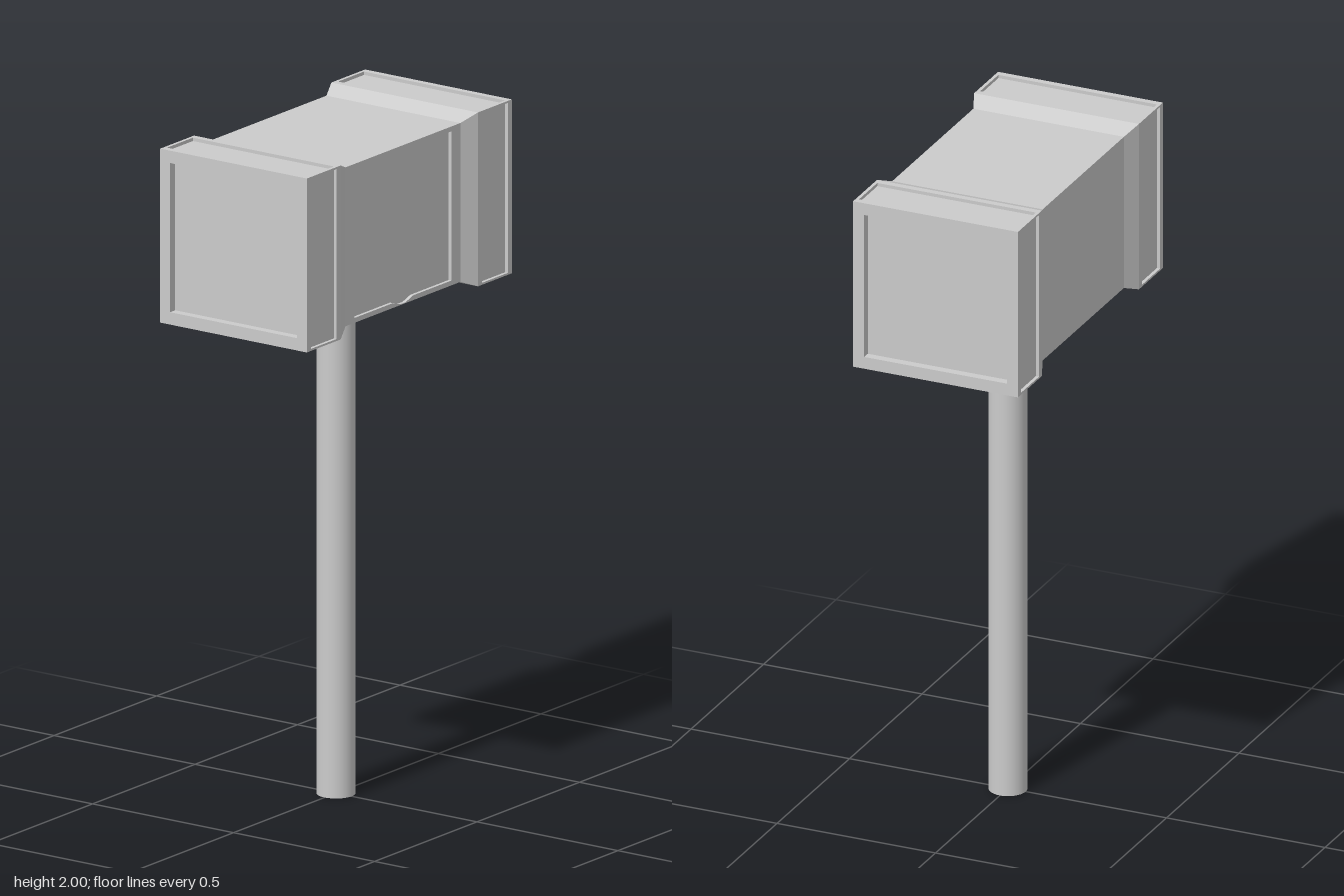
import * as THREE from 'three';
import { mergeGeometries } from 'three/addons/utils/BufferGeometryUtils.js';

const material = new THREE.MeshStandardMaterial({ color: 0xcccccc, flatShading: true });
const smooth = new THREE.MeshStandardMaterial({ color: 0xcccccc });

const CENTER = 1.74; // height of the head's axis
const END = 0.26, CORE = 0.2375; // half widths of the end blocks and the core
const Z_CORE = 0.28, Z_FLARE = 0.335, Z_FACE = 0.5;

const rect = (w, h) => [[-w, -h], [w, -h], [w, h], [-w, h]].map(([x, y]) => new THREE.Vector2(x, y));

// Flat face towards +z with an optional sunken panel (counter-clockwise outline).
function panel(w, h, inner, depth) {
  const face = new THREE.Shape(rect(w, h));
  if (!inner) return new THREE.ShapeGeometry(face).toNonIndexed();
  face.holes.push(new THREE.Path(inner));
  const floor = new THREE.ShapeGeometry(new THREE.Shape(inner)).translate(0, 0, -depth);
  const walls = [];
  inner.forEach((a, i) => {
    const b = inner[(i + 1) % inner.length];
    walls.push(a.x, a.y, 0, b.x, b.y, 0, b.x, b.y, -depth);
    walls.push(a.x, a.y, 0, b.x, b.y, -depth, a.x, a.y, -depth);
  });
  const wall = new THREE.BufferGeometry();
  wall.setAttribute('position', new THREE.Float32BufferAttribute(walls, 3));
  const parts = [new THREE.ShapeGeometry(face).toNonIndexed(), floor.toNonIndexed(), wall];
  parts.forEach((g) => { g.deleteAttribute('uv'); g.deleteAttribute('normal'); });
  const merged = mergeGeometries(parts);
  merged.computeVertexNormals();
  return merged;
}

function add(parent, name, geometry, mat = material) {
  const mesh = new THREE.Mesh(geometry, mat);
  mesh.name = name;
  parent.add(mesh);
  return mesh;
}

// Places a panel on one of the four long sides; turn 0 is +x, 1 is +y, 2 is -x, 3 is -y.
const onSide = (geometry, turn, distance, z) =>
  geometry.rotateY(Math.PI / 2).translate(distance, 0, 0).rotateZ(turn * Math.PI / 2).translate(0, 0, z);

function endBlock() {
  const block = new THREE.Group();
  add(block, 'strikingFace', panel(END, END, rect(0.225, 0.223), 0.025).translate(0, 0, Z_FACE));

  // Four sunken side panels
  const halfLength = (Z_FACE - Z_FLARE) / 2;
  for (let i = 0; i < 4; i++) {
    const inner = rect(0.063, i % 2 ? 0.25 : 0.254);
    add(block, 'endSide', onSide(panel(halfLength, END, inner, 0.01), i, END, Z_FLARE + halfLength));
  }

  // Sloped collar down to the core
  const collar = new THREE.CylinderGeometry(END * Math.SQRT2, CORE * Math.SQRT2, Z_FLARE - Z_CORE, 4, 1, true);
  collar.rotateY(Math.PI / 4).rotateX(Math.PI / 2).translate(0, 0, (Z_FLARE + Z_CORE) / 2);
  add(block, 'collar', collar);
  return block;
}

export function createModel() {
  const model = new THREE.Group();
  model.name = 'hammer';

  const head = new THREE.Group();
  head.name = 'head';
  head.position.y = CENTER;
  model.add(head);

  // Core: a notched panel is sunk into the left side only
  const half = [[-0.237, -0.223], [-0.05, -0.223], [-0.012, -0.235], [0.012, -0.235], [0.05, -0.223], [0.237, -0.223]];
  const notched = [...half, ...half.map(([x, y]) => [-x, -y])].map(([x, y]) => new THREE.Vector2(x, y));
  for (let i = 0; i < 4; i++) {
    add(head, i ? 'coreSide' : 'corePanel', onSide(panel(Z_CORE, CORE, i ? null : notched, 0.01), i, CORE, 0));
  }

  // Matching blocks at both ends
  ['frontBlock', 'backBlock'].forEach((name, i) => {
    const block = endBlock();
    block.name = name;
    block.rotation.y = i * Math.PI;
    head.add(block);
  });

  // Handle
  add(model, 'handle', new THREE.CylinderGeometry(0.056, 0.056, 1.52, 32).translate(0, 0.76, 0), smooth);
  return model;
}
